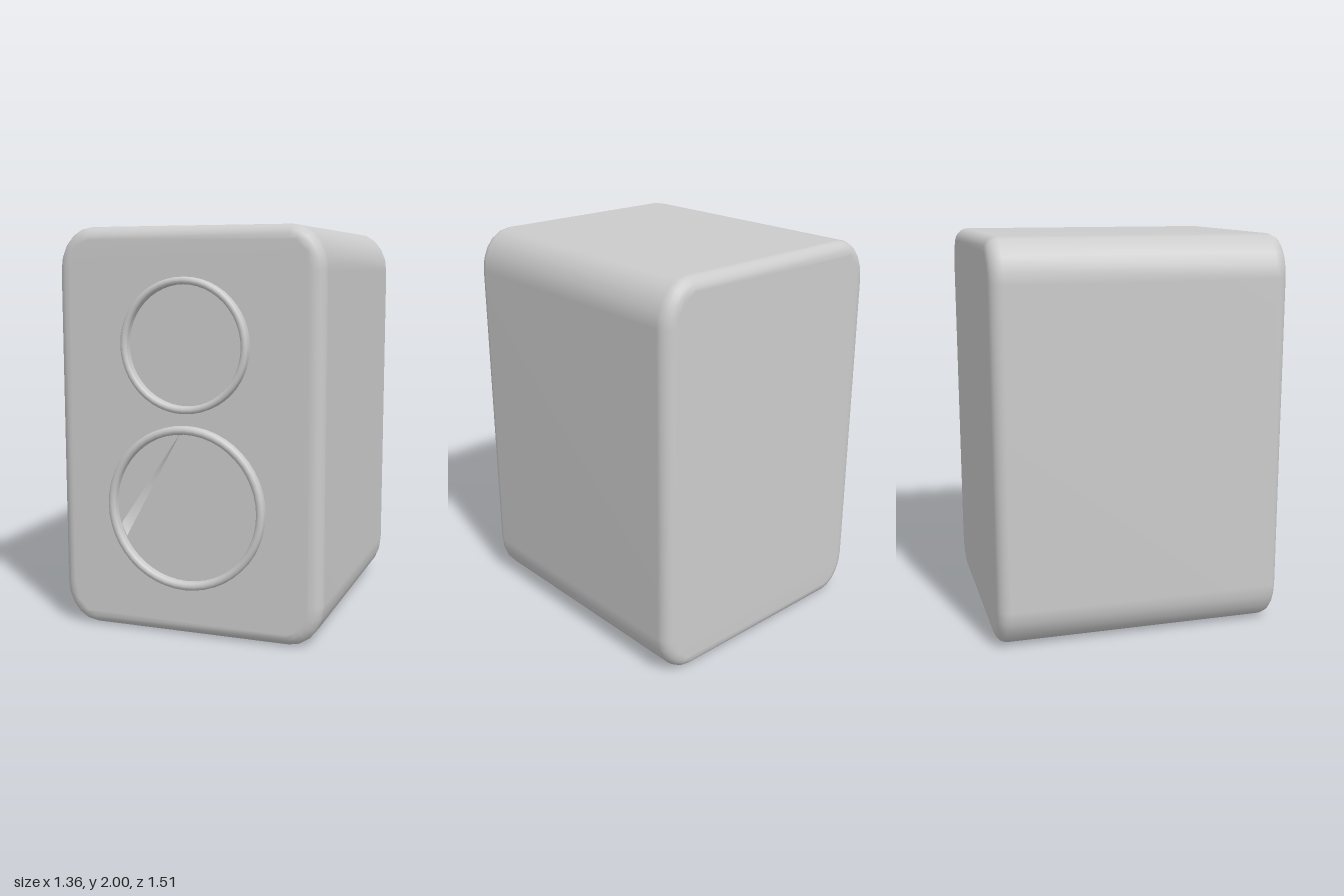
import * as THREE from 'three';
import { mergeGeometries, mergeVertices } from 'three/addons/utils/BufferGeometryUtils.js';

const HALF_W = 0.68, HALF_H = 1, FRONT = 0.71, BACK = -0.755, BEVEL = 0.065;
const material = new THREE.MeshStandardMaterial({ color: 0xcccccc });
const openMaterial = new THREE.MeshStandardMaterial({ color: 0xcccccc, side: THREE.DoubleSide });

function addMesh(parent, name, geometry, mat = material) {
  const mesh = new THREE.Mesh(geometry, mat);
  mesh.name = name;
  parent.add(mesh);
  return mesh;
}

// Rounded rectangle, counter-clockwise, pulled in by "inset"
function outline(inset) {
  const rx = 0.17 - inset, ry = 0.21 - inset, steps = 5, points = [];
  for (let corner = 0; corner < 4; corner++) {
    const sx = corner === 0 || corner === 3 ? 1 : -1;
    const sy = corner < 2 ? 1 : -1;
    for (let s = 0; s <= steps; s++) {
      const a = (corner + s / steps) * Math.PI / 2;
      points.push(new THREE.Vector2(
        sx * (HALF_W - inset - rx) + rx * Math.cos(a),
        sy * (HALF_H - inset - ry) + ry * Math.sin(a)));
    }
  }
  return points;
}

// Cabinet: outlines lofted from back to front with rounded rims, closed by flat caps
function cabinetGeometry() {
  const steps = 5, sections = [];
  for (let s = 0; s <= steps; s++) {
    const a = s / steps * Math.PI / 2;
    sections.push([BEVEL * (1 - Math.sin(a)), BACK + BEVEL * (1 - Math.cos(a))]);
  }
  for (let s = steps; s >= 0; s--) {
    const a = s / steps * Math.PI / 2;
    sections.push([BEVEL * (1 - Math.sin(a)), FRONT - BEVEL * (1 - Math.cos(a))]);
  }
  const positions = [], index = [], n = outline(0).length;
  sections.forEach(([inset, z], i) => {
    outline(inset).forEach(p => positions.push(p.x, p.y, z));
    if (i === 0) return;
    for (let j = 0; j < n; j++) {
      const k = (j + 1) % n, a = (i - 1) * n, b = i * n;
      index.push(a + j, a + k, b + k, a + j, b + k, b + j);
    }
  });
  const sides = new THREE.BufferGeometry();
  sides.setAttribute('position', new THREE.Float32BufferAttribute(positions, 3));
  sides.setIndex(index);

  // Front cap has a narrow slit into the lower speaker
  const frontShape = new THREE.Shape(outline(BEVEL));
  frontShape.holes.push(new THREE.Path([[-0.03, 0.01], [-0.32, -0.52], [-0.35, -0.46]]
    .map(([x, y]) => new THREE.Vector2(x, y))));
  const front = new THREE.ShapeGeometry(frontShape).translate(0, 0, FRONT);
  const back = new THREE.ShapeGeometry(new THREE.Shape(outline(BEVEL)))
    .rotateY(Math.PI).translate(0, 0, BACK);
  for (const cap of [front, back]) {
    cap.deleteAttribute('normal');
    cap.deleteAttribute('uv');
  }
  const geometry = mergeVertices(mergeGeometries([sides, front, back]), 1e-4);
  geometry.computeVertexNormals();
  return geometry.translate(0, HALF_H, 0);
}

// Revolved profile of [radius, depth] pairs, turned to face the front
function turned(profile) {
  return new THREE.LatheGeometry(profile.map(([r, d]) => new THREE.Vector2(r, d)), 48)
    .rotateX(Math.PI / 2);
}

// Raised trim ring with a rounded rim
function trimRing(outer, inner, height) {
  const r = Math.min((outer - inner) / 2, height) * 0.9;
  const profile = [[outer, -0.01]];
  for (let s = 0; s <= 4; s++) {
    const a = s / 4 * Math.PI / 2;
    profile.push([outer - r + r * Math.cos(a), height - r + r * Math.sin(a)]);
  }
  for (let s = 0; s <= 4; s++) {
    const a = s / 4 * Math.PI / 2;
    profile.push([inner + r - r * Math.sin(a), height - r + r * Math.cos(a)]);
  }
  profile.push([inner, -0.01]);
  return turned(profile);
}

export function createModel() {
  const group = new THREE.Group();
  group.name = 'speaker';
  addMesh(group, 'cabinet', cabinetGeometry());

  addMesh(group, 'upperTrimRing', trimRing(0.325, 0.29, 0.045)).position.set(0, 1.435, FRONT);
  addMesh(group, 'lowerTrimRing', trimRing(0.405, 0.365, 0.04)).position.set(0, 0.645, FRONT);

  // Cone behind the slit in the front panel
  addMesh(group, 'lowerCone',
    turned([[0, -0.14], [0.12, -0.15], [0.32, -0.06], [0.365, -0.04], [0.38, -0.002]]),
    openMaterial).position.set(0, 0.645, FRONT);
  return group;
}
